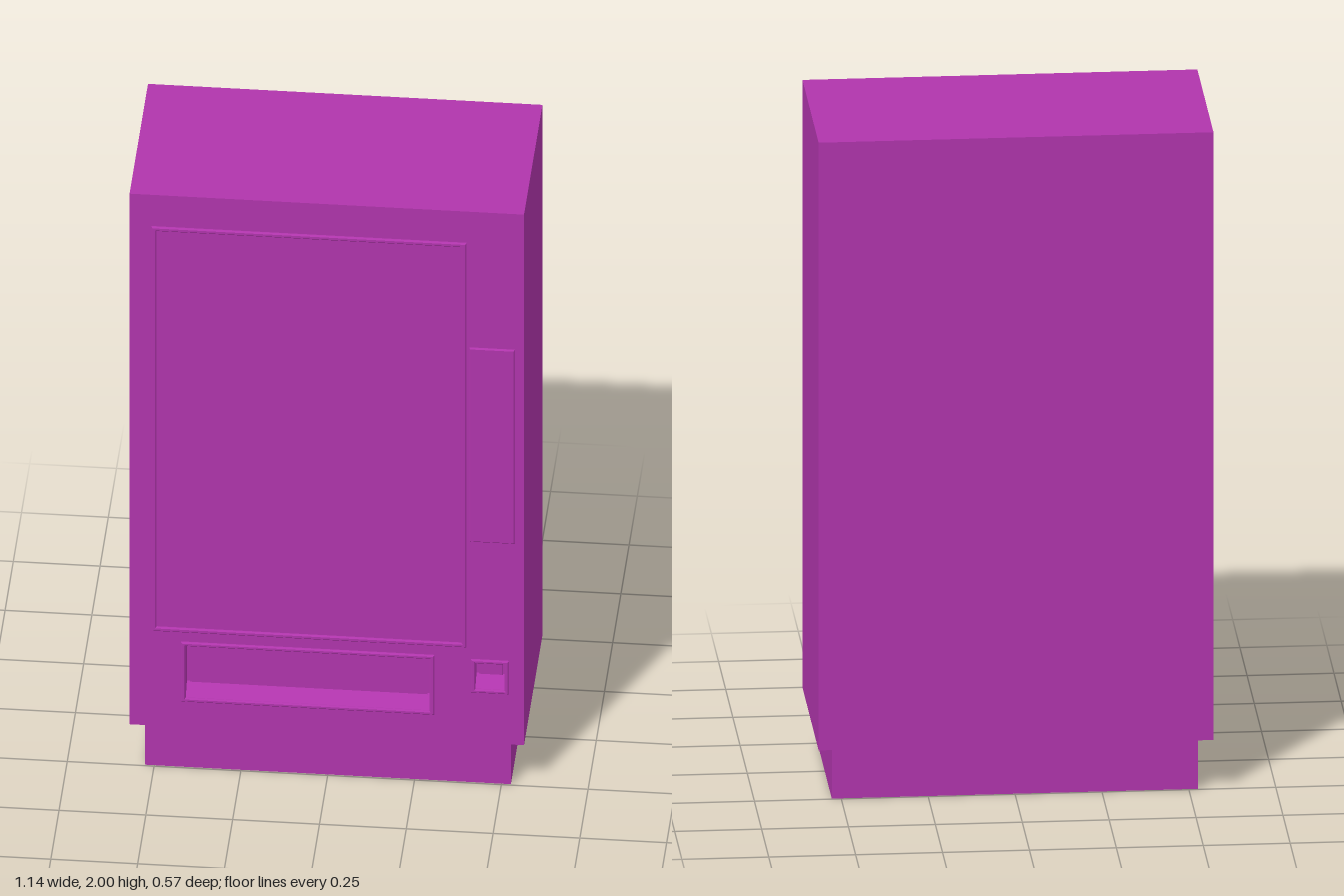
import * as THREE from 'three';

const FRONT = 0.278, BACK = -0.284, RECESS = 0.035;

// Rectangle as [left, right, bottom, top]
function trace(path, [l, r, b, t]) {
  path.moveTo(l, b);
  path.lineTo(r, b);
  path.lineTo(r, t);
  path.lineTo(l, t);
  path.closePath();
  return path;
}

function rectShape(rect, holes = []) {
  const shape = trace(new THREE.Shape(), rect);
  holes.forEach((h) => shape.holes.push(trace(new THREE.Path(), h)));
  return shape;
}

const inset = ([l, r, b, t], d) => [l + d, r - d, b + d, t - d];

export function createModel() {
  const group = new THREE.Group();
  const material = new THREE.MeshStandardMaterial({ color: 0xb035ac, flatShading: true });

  function add(name, geometry, x = 0, y = 0, z = 0) {
    const mesh = new THREE.Mesh(geometry, material);
    mesh.name = name;
    mesh.position.set(x, y, z);
    group.add(mesh);
    return mesh;
  }

  function box(name, [l, r, b, t], z0, z1) {
    add(name, new THREE.BoxGeometry(r - l, t - b, z1 - z0), (l + r) / 2, (b + t) / 2, (z0 + z1) / 2);
  }

  // Thin raised trim with chamfered edges, standing proud of the front
  function trim(name, rect, holes = [], height = 0.006) {
    const bevel = 0.004;
    const geometry = new THREE.ExtrudeGeometry(rectShape(rect, holes), {
      depth: height - bevel, bevelThickness: bevel, bevelSize: bevel, bevelOffset: -bevel, bevelSegments: 1,
    });
    add(name, geometry, 0, 0, FRONT);
  }

  // Sloped floor of a pocket, rising towards the back
  function slope(name, l, r, y, rise) {
    const shape = new THREE.Shape();
    shape.moveTo(0, 0);
    shape.lineTo(RECESS, 0);
    shape.lineTo(RECESS, rise);
    shape.closePath();
    const geometry = new THREE.ExtrudeGeometry(shape, { depth: r - l, bevelEnabled: false });
    geometry.rotateY(Math.PI / 2);
    add(name, geometry, l, y, FRONT);
  }

  // Cabinet: solid back part and a front plate pierced by the two pockets
  const cabinet = [-0.568, 0.568, 0.16, 2];
  const tray = [-0.42, 0.31, 0.25, 0.457];
  const coin = [0.415, 0.525, 0.335, 0.45];
  const trayHole = inset(tray, 0.014), coinHole = inset(coin, 0.013);
  box('plinth', [-0.527, 0.527, 0, 0.16], -0.245, 0.245);
  box('cabinet', cabinet, BACK, FRONT - RECESS);
  add('frontPlate', new THREE.ExtrudeGeometry(rectShape(cabinet, [trayHole, coinHole]), {
    depth: RECESS, bevelEnabled: false,
  }), 0, 0, FRONT - RECESS);

  // Display window frame and control panel
  const display = [-0.505, 0.403, 0.49, 1.892];
  trim('windowFrame', display, [inset(display, 0.015)]);
  trim('controlPanel', [0.41, 0.542, 0.857, 1.53], [], 0.005);

  // Delivery tray: frame, sloped floor and flap
  trim('trayFrame', tray, [trayHole]);
  slope('trayFloor', trayHole[0], trayHole[1], trayHole[2], 0.035);
  box('trayFlap', [-0.396, 0.287, 0.299, 0.443], FRONT - RECESS, FRONT - RECESS + 0.006);

  // Coin return: frame, sloped floor and small flap
  trim('coinReturnFrame', coin, [coinHole]);
  slope('coinReturnFloor', coinHole[0], coinHole[1], coinHole[2], 0.032);
  box('coinReturnFlap', [0.436, 0.504, 0.38, 0.437], FRONT - RECESS, FRONT - RECESS + 0.006);

  return group;
}
